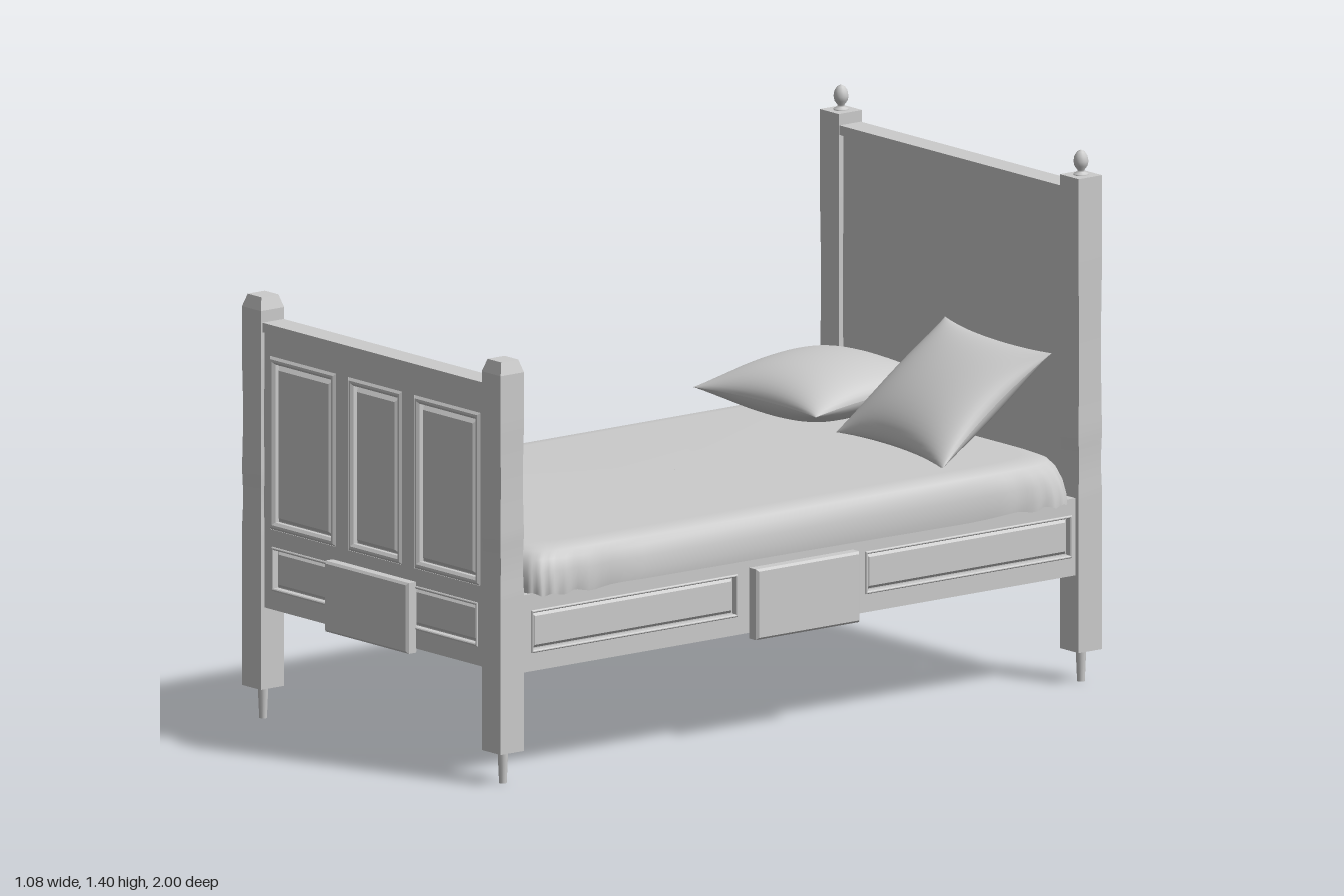
import * as THREE from 'three';

const grey = new THREE.MeshStandardMaterial({ color: 0xcccccc });
const flat = new THREE.MeshStandardMaterial({ color: 0xcccccc, flatShading: true });
const thin = new THREE.MeshStandardMaterial({ color: 0xcccccc, side: THREE.DoubleSide });

function add(parent, name, geometry, x = 0, y = 0, z = 0, material = grey) {
  const mesh = new THREE.Mesh(geometry, material);
  mesh.name = name;
  mesh.position.set(x, y, z);
  parent.add(mesh);
  return mesh;
}

function group(parent, name) {
  const g = new THREE.Group();
  g.name = name;
  parent.add(g);
  return g;
}

// Rectangle outline from [x0, y0, x1, y1], shrunk by an inset
function rect([x0, y0, x1, y1], inset = 0, Type = THREE.Shape) {
  const a = x0 + inset, b = y0 + inset, c = x1 - inset, d = y1 - inset;
  return new Type([[a, b], [c, b], [c, d], [a, d]].map((p) => new THREE.Vector2(...p)));
}

function slab(shape, depth, bevel = 0) {
  return new THREE.ExtrudeGeometry(shape, {
    depth: depth - bevel, bevelEnabled: bevel > 0, bevelSize: bevel,
    bevelThickness: bevel, bevelOffset: -bevel, bevelSegments: 1,
  });
}

// Board facing +z with its front at z = 0; each panel is recessed and framed
function panelledBoard(parent, name, outline, depth, panels) {
  const g = group(parent, name);
  const recess = 0.014;
  const face = rect(outline);
  face.holes = panels.map((p) => rect(p.box, 0, THREE.Path));
  add(g, 'boardFace', slab(face, recess), 0, 0, -recess);
  add(g, 'boardBack', slab(rect(outline), depth - recess), 0, 0, -depth);
  for (const { box, moulding, field } of panels) {
    const frame = rect(box);
    frame.holes = [rect(box, moulding, THREE.Path)];
    add(g, 'panelMoulding', slab(frame, recess + 0.005, moulding * 0.35), 0, 0, -recess);
    add(g, 'panelField', slab(rect(box, moulding + 0.003), field, field * 0.9), 0, 0, -recess);
  }
  return g;
}

// Square post whose faces are lightly hollowed in two bands
function postGeometry(top, bandTop) {
  const bottom = 0.085, geo = new THREE.BoxGeometry(0.077, top - bottom, 0.077, 1, 60, 1);
  geo.translate(0, (top + bottom) / 2, 0);
  const p = geo.attributes.position;
  for (let i = 0; i < p.count; i++) {
    const y = p.getY(i);
    let s = 1;
    for (const [a, b] of [[0.5, 0.655], [0.655, bandTop]]) {
      if (y > a && y < b) s = 1 - 0.05 * Math.sin(Math.PI * (y - a) / (b - a));
    }
    p.setX(i, p.getX(i) * s);
    p.setZ(i, p.getZ(i) * s);
  }
  geo.computeVertexNormals();
  return geo;
}

function post(parent, name, x, z, isHead) {
  const g = group(parent, name);
  g.position.set(x, 0, z);
  const top = isHead ? 1.33 : 1.08;
  add(g, 'postShaft', postGeometry(top, isHead ? 1.1 : 0.94));
  add(g, 'foot', new THREE.CylinderGeometry(0.014, 0.01, 0.087, 12), 0, 0.0435, 0);
  if (isHead) {
    const profile = [[0.019, 0], [0.019, 0.004], [0.009, 0.008], [0.009, 0.013], [0.017, 0.024],
      [0.0195, 0.036], [0.017, 0.05], [0.01, 0.061], [0, 0.066]];
    add(g, 'finial', new THREE.LatheGeometry(profile.map((p) => new THREE.Vector2(...p)), 16), 0, top, 0);
  } else {
    const cap = new THREE.CylinderGeometry(0.028 * Math.SQRT2, 0.0385 * Math.SQRT2, 0.033, 4).rotateY(Math.PI / 4);
    add(g, 'postCap', cap, 0, top + 0.0165, 0, flat);
  }
}

// Three upright panels over one long low panel
function endPanels(top) {
  const tall = [[-0.43, -0.16], [-0.11, 0.11], [0.16, 0.43]].map(([a, b]) => (
    { box: [a, 0.51, b, top], moulding: 0.02, field: 0.012 }));
  return [...tall, { box: [-0.42, 0.35, 0.42, 0.465], moulding: 0.007, field: 0.009 }];
}

// Open fitted cover: stacked rounded-rectangle rings, flared at the corners
function coverGeometry() {
  const rings = [[0.485, 0.535, 0.9, 1], [0.51, 0.538, 0.902, 0.75], [0.545, 0.536, 0.9, 0.4], [0.575, 0.528, 0.892, 0.1],
    [0.593, 0.515, 0.878, 0], [0.602, 0.495, 0.858, 0], [0.605, 0.46, 0.825, 0], [0.606, 0.001, 0.001, 0]];
  const n = 160, pos = [], index = [];
  rings.forEach(([y, hx, hz, flare], r) => {
    for (let i = 0; i < n; i++) {
      const a = (i / n) * Math.PI * 2, c = Math.cos(a), s = Math.sin(a);
      const u = Math.sign(c) * Math.abs(c) ** 0.16, v = Math.sign(s) * Math.abs(s) ** 0.16;
      const corner = Math.abs(2 * c * s) ** 4;
      const wave = flare * (0.004 * Math.sin(i * 1.3) + 0.022 * corner * (v < 0 ? 1.2 : 0.7));
      pos.push(u * (hx + wave), y + flare * 0.004 * Math.sin(i * 0.9), -0.01 + v * (hz + wave * 0.3));
      if (r < rings.length - 1) {
        const j = (i + 1) % n, p = r * n;
        index.push(p + i, p + n + i, p + j, p + j, p + n + i, p + n + j);
      }
    }
  });
  const geo = new THREE.BufferGeometry();
  geo.setAttribute('position', new THREE.Float32BufferAttribute(pos, 3));
  geo.setIndex(index);
  geo.computeVertexNormals();
  return geo;
}

// Pillow: sphere-like cushion over a square with pinched sides and sharp corners
function pillow(parent, name, w, d, thick, place, tilt) {
  const g = group(parent, name);
  for (const side of [1, -1]) {
    const geo = new THREE.PlaneGeometry(2, 2, 28, 28).rotateX(side * -Math.PI / 2);
    const p = geo.attributes.position;
    for (let i = 0; i < p.count; i++) {
      const u = Math.sin(p.getX(i) * Math.PI / 2), v = Math.sin(p.getZ(i) * Math.PI / 2);
      const fu = Math.max(0, 1 - u * u), fv = Math.max(0, 1 - v * v);
      p.setXYZ(i, u * w / 2 * (1 - 0.1 * fv * u * u), side * thick / 2 * Math.pow(fu * fv, 0.55),
        v * d / 2 * (1 - 0.1 * fu * v * v));
    }
    geo.computeVertexNormals();
    add(g, side > 0 ? 'pillowTop' : 'pillowBottom', geo, 0, 0, 0, thin);
  }
  g.position.set(...place);
  g.rotation.set(...tilt);
}

export function createModel() {
  const bed = new THREE.Group();
  bed.name = 'bed';
  const frame = group(bed, 'bedFrame');
  frame.position.x = -0.01;

  // Corner posts
  for (const s of [-1, 1]) {
    const side = s > 0 ? 'Left' : 'Right';
    post(frame, 'footPost' + side, s * 0.49, 0.942, false);
    post(frame, 'headPost' + side, s * 0.49, -0.961, true);
  }

  // Footboard and headboard with their cap rails
  const footboard = panelledBoard(frame, 'footboard', [-0.46, 0.3, 0.46, 1.025], 0.05, endPanels(0.965));
  footboard.position.z = 0.968;
  add(frame, 'footboardCap', new THREE.BoxGeometry(0.92, 0.025, 0.07), 0, 1.0365, 0.94);
  const headboard = panelledBoard(frame, 'headboard', [-0.46, 0.3, 0.46, 1.275], 0.05, endPanels(1.21));
  headboard.position.z = -0.988;
  headboard.rotation.y = Math.PI;
  add(frame, 'headboardCap', new THREE.BoxGeometry(0.92, 0.025, 0.07), 0, 1.2875, -0.96);

  // Side rails, each with two long panels
  for (const s of [-1, 1]) {
    const spans = s > 0 ? [[-0.87, -0.19], [0.23, 0.91]] : [[-0.91, -0.23], [0.19, 0.87]];
    const ends = s > 0 ? [-0.91, 0.93] : [-0.93, 0.91];
    const rail = panelledBoard(frame, s > 0 ? 'sideRailLeft' : 'sideRailRight', [ends[0], 0.287, ends[1], 0.49], 0.035,
      spans.map(([a, b]) => ({ box: [a, 0.335, b, 0.447], moulding: 0.007, field: 0.009 })));
    rail.position.x = s * 0.515;
    rail.rotation.y = s * Math.PI / 2;
  }

  // Raised blocks on the foot end and on the left rail
  add(frame, 'footBlock', slab(rect([-0.17, 0.29, 0.17, 0.476]), 0.03, 0.006), 0, 0, 0.97);
  const sideBlock = add(frame, 'sideBlock', slab(rect([-0.15, 0.272, 0.19, 0.458]), 0.032, 0.006), 0.515, 0, 0);
  sideBlock.rotation.y = Math.PI / 2;

  // Bedding
  add(bed, 'mattressCover', coverGeometry(), 0, 0, 0, thin);
  pillow(bed, 'flatPillow', 0.48, 0.45, 0.16, [-0.255, 0.69, -0.695], [0.07, 0.04, 0]);
  pillow(bed, 'leaningPillow', 0.46, 0.43, 0.15, [0.2, 0.74, -0.735], [0.65, -0.05, 0]);
  return bed;
}
